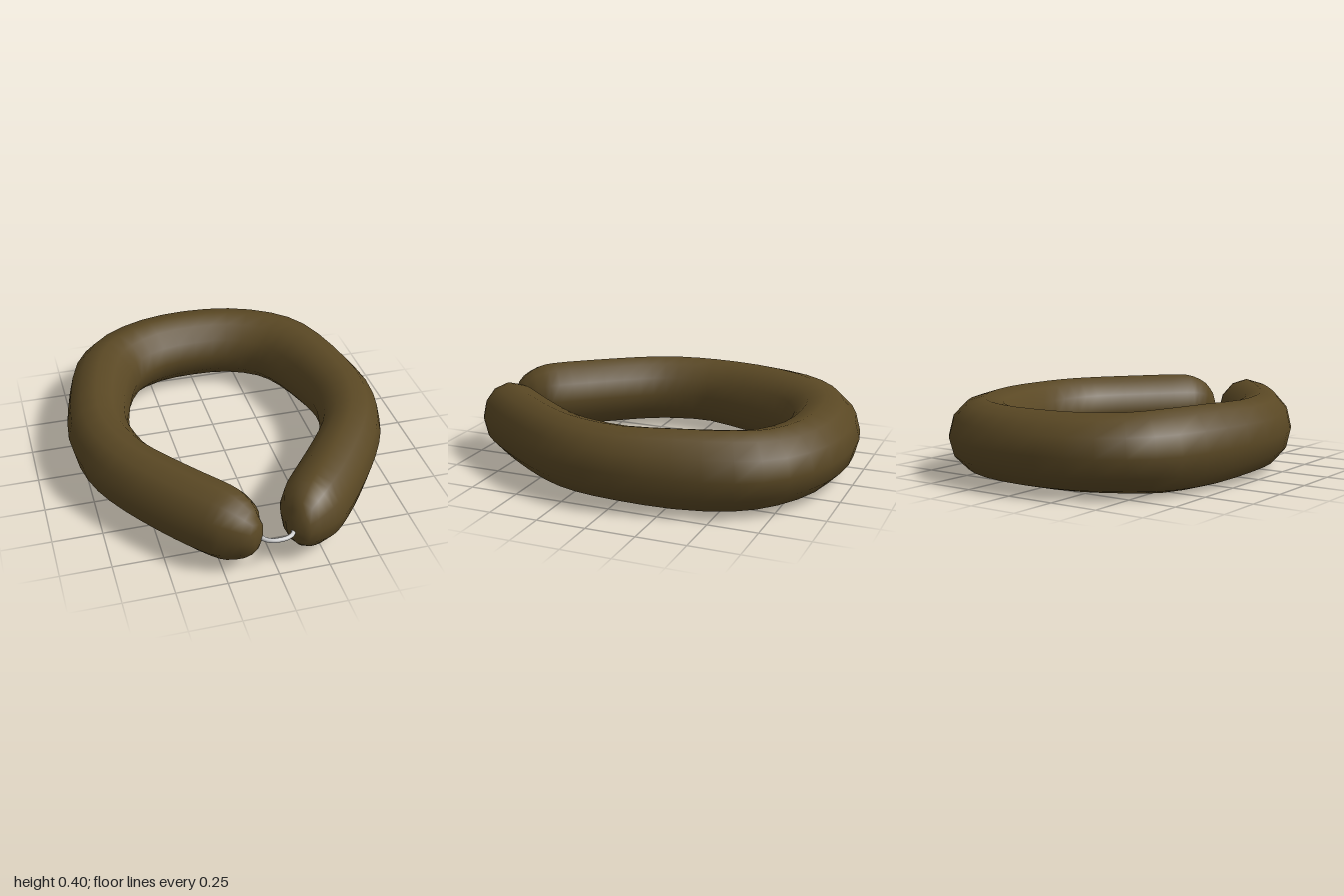
import * as THREE from 'three';

// Half of the roll, from back centre to front tip: [x, y, z, half width, half height]
const HALF = [
  [0, 0.205, -0.813, 0.187, 0.186],
  [0.23, 0.205, -0.785, 0.184, 0.186],
  [0.425, 0.205, -0.685, 0.185, 0.188],
  [0.54, 0.205, -0.535, 0.18, 0.197],
  [0.618, 0.207, -0.29, 0.166, 0.198],
  [0.66, 0.214, -0.03, 0.16, 0.186],
  [0.633, 0.215, 0.18, 0.16, 0.186],
  [0.57, 0.215, 0.34, 0.158, 0.186],
  [0.465, 0.215, 0.5, 0.163, 0.186],
  [0.335, 0.215, 0.67, 0.167, 0.186],
  [0.23, 0.215, 0.795, 0.163, 0.185],
  [0.178, 0.215, 0.858, 0.144, 0.172],
  [0.125, 0.215, 0.917, 0.102, 0.13],
  [0.088, 0.212, 0.944, 0.055, 0.07],
];
const SIDES = 12;

// Elliptical rings swept along a horizontal path, with a point closing each end
function sweptRoll(stations) {
  const centre = new THREE.CatmullRomCurve3(stations.map(s => new THREE.Vector3(s[0], s[1], s[2])), false, 'catmullrom', 0.5);
  const radii = new THREE.CatmullRomCurve3(stations.map(s => new THREE.Vector3(s[3], s[4], 0)), false, 'catmullrom', 0.5);
  const steps = (stations.length - 1) * 2;
  const pos = [], index = [];
  for (let i = 0; i <= steps; i++) {
    const t = i / steps;
    const c = centre.getPoint(t), r = radii.getPoint(t), d = centre.getTangent(t);
    const len = Math.hypot(d.x, d.z);
    const nx = d.z / len, nz = -d.x / len;
    for (let j = 0; j < SIDES; j++) {
      const a = j / SIDES * Math.PI * 2;
      const w = Math.cos(a) * r.x;
      pos.push(c.x + nx * w, c.y + Math.sin(a) * r.y, c.z + nz * w);
    }
  }
  for (let i = 0; i < steps; i++) {
    for (let j = 0; j < SIDES; j++) {
      const k = (j + 1) % SIDES;
      const a = i * SIDES + j, b = i * SIDES + k;
      index.push(a, a + SIDES, b, b, a + SIDES, b + SIDES);
    }
  }
  // End points, slightly domed
  const first = pos.length / 3, last = first + 1, base = steps * SIDES;
  [0, 1].forEach(t => {
    const p = centre.getPoint(t).addScaledVector(centre.getTangent(t), t ? 0.018 : -0.018);
    pos.push(p.x, p.y, p.z);
  });
  for (let j = 0; j < SIDES; j++) {
    const k = (j + 1) % SIDES;
    index.push(first, j, k, last, base + k, base + j);
  }
  // Orient the faces outward by the sign of the enclosed volume
  let volume = 0;
  const v = i => new THREE.Vector3().fromArray(pos, index[i] * 3);
  for (let i = 0; i < index.length; i += 3) volume += v(i).dot(v(i + 1).cross(v(i + 2)));
  if (volume < 0) index.reverse();
  const geo = new THREE.BufferGeometry();
  geo.setAttribute('position', new THREE.Float32BufferAttribute(pos, 3));
  geo.setIndex(index);
  geo.computeVertexNormals();
  return geo;
}

export function createModel() {
  const group = new THREE.Group();

  // Padded horseshoe roll, mirrored from one half
  const mirrored = HALF.slice(1).reverse().map(([x, ...rest]) => [-x, ...rest]);
  const roll = new THREE.Mesh(
    sweptRoll([...mirrored, ...HALF]),
    new THREE.MeshStandardMaterial({ color: 0x5a4824 })
  );
  roll.name = 'paddedRoll';
  group.add(roll);

  // Thin curved link joining the two front tips
  const path = new THREE.CatmullRomCurve3(
    [[-0.082, 0.935], [-0.068, 0.965], [-0.038, 0.983], [0, 0.988], [0.038, 0.983], [0.068, 0.965], [0.082, 0.935]]
      .map(([x, z]) => new THREE.Vector3(x, 0.207, z))
  );
  const link = new THREE.Mesh(
    new THREE.TubeGeometry(path, 20, 0.011, 8),
    new THREE.MeshStandardMaterial({ color: 0xcccccc })
  );
  link.name = 'frontLink';
  group.add(link);

  return group;
}
